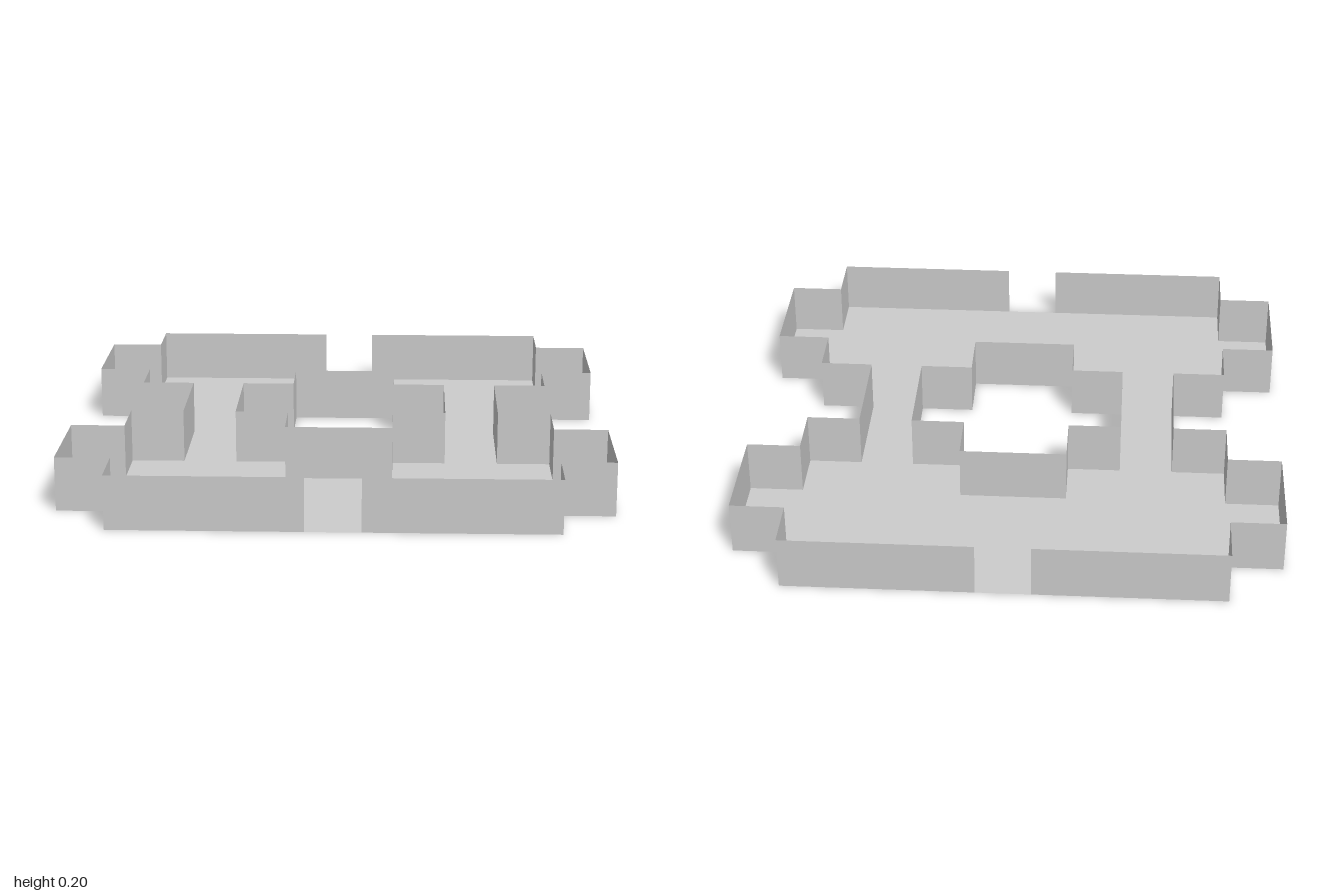
import * as THREE from 'three';

const HEIGHT = 0.2;
const DOOR = 0.1; // half width of the door gaps

// Mirror one quadrant (listed from the z axis round to the x axis) into a full closed outline.
function mirrorOutline(quarter) {
  const half = [...quarter, ...[...quarter].reverse().map(([x, z]) => [x, -z])];
  return [...half, ...[...half].reverse().map(([x, z]) => [-x, z])];
}

// Thin upright sheets following a path on the floor.
function wall(name, path, material) {
  const positions = [];
  for (let i = 0; i < path.length - 1; i++) {
    const [ax, az] = path[i], [bx, bz] = path[i + 1];
    positions.push(
      ax, 0, az, bx, 0, bz, bx, HEIGHT, bz,
      ax, 0, az, bx, HEIGHT, bz, ax, HEIGHT, az
    );
  }
  const geometry = new THREE.BufferGeometry();
  geometry.setAttribute('position', new THREE.Float32BufferAttribute(positions, 3));
  geometry.computeVertexNormals();
  const mesh = new THREE.Mesh(geometry, material);
  mesh.name = name;
  return mesh;
}

export function createModel() {
  const group = new THREE.Group();
  group.name = 'floorPlan';
  const grey = new THREE.MeshStandardMaterial({ color: 0xcccccc, side: THREE.DoubleSide });
  grey.name = 'light grey';

  const outerQuarter = [[0.8, 1], [0.8, 0.8], [1, 0.8], [1, 0.4], [0.8, 0.4], [0.8, 0.2], [0.6, 0.2]];
  const innerQuarter = [[0.2, 0.4], [0.2, 0.2], [0.4, 0.2]];
  const outer = mirrorOutline(outerQuarter);
  const inner = mirrorOutline(innerQuarter);

  // Floor with the courtyard opening
  const toVectors = (pts) => pts.map(([x, z]) => new THREE.Vector2(x, -z));
  const shape = new THREE.Shape(toVectors(outer));
  shape.holes.push(new THREE.Path(toVectors(inner)));
  const floor = new THREE.Mesh(new THREE.ShapeGeometry(shape).rotateX(-Math.PI / 2), grey);
  floor.name = 'floor';
  group.add(floor);

  // Outer walls: one run per side, leaving a door gap at front and back
  for (const [name, s] of [['leftOuterWall', 1], ['rightOuterWall', -1]]) {
    const half = [[DOOR, 1], ...outerQuarter,
      ...[...outerQuarter].reverse().map(([x, z]) => [x, -z]), [DOOR, -1]];
    group.add(wall(name, half.map(([x, z]) => [s * x, z]), grey));
  }

  // Courtyard wall, closed all round
  group.add(wall('courtyardWall', [...inner, inner[0]], grey));

  return group;
}
